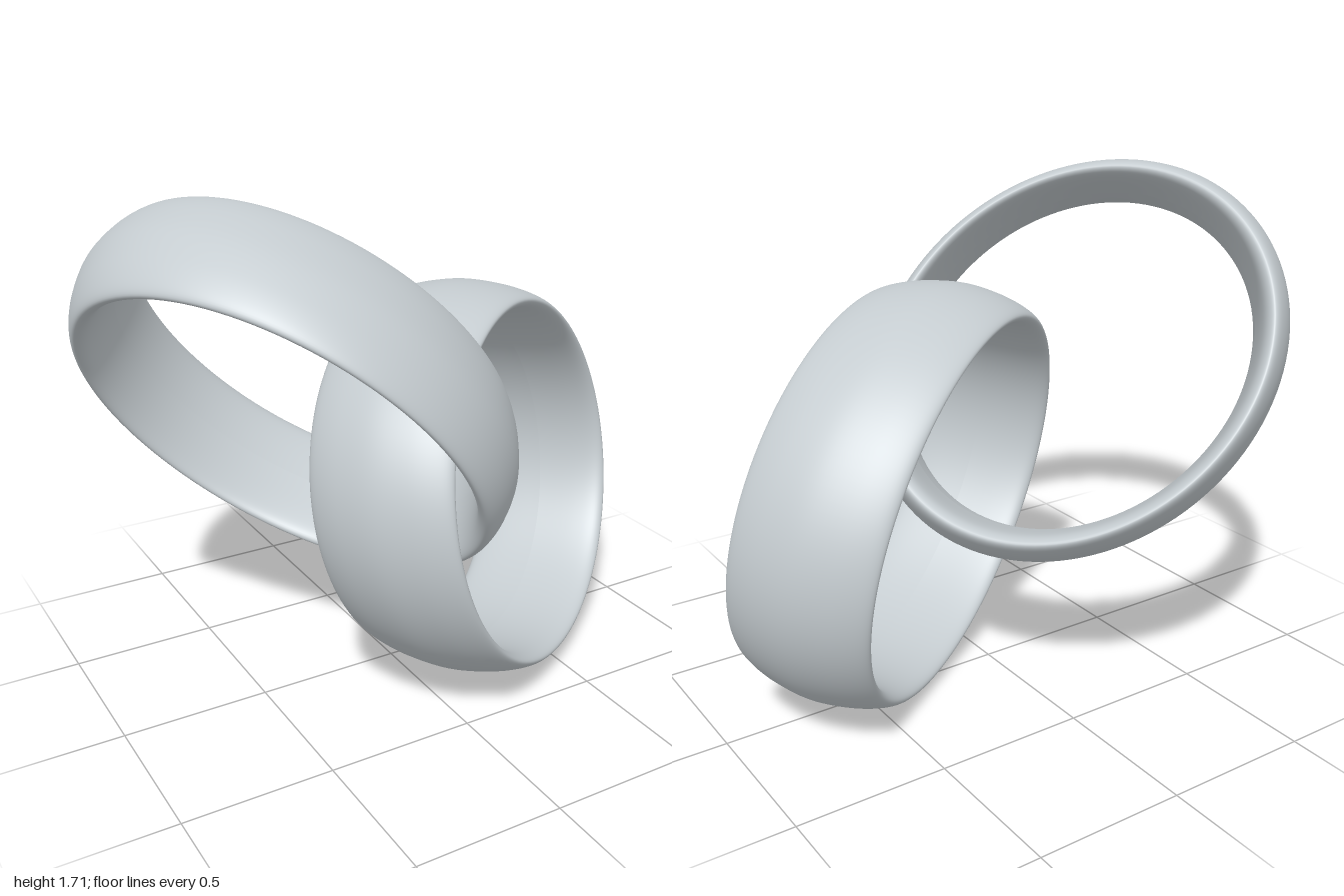
import * as THREE from 'three';

const silver = new THREE.MeshStandardMaterial({ color: 0xc5ccd0 });
silver.name = 'silver';

// Closed band section as (radius, height): gently domed outside, nearly flat inside, rounded rims
function bandGeometry() {
  const upper = [[0.757, 0], [0.742, 0.11], [0.714, 0.19], [0.686, 0.223], [0.66, 0.2], [0.648, 0.13]];
  const lower = upper.slice(1).reverse().map(([r, y]) => [r, -y]);
  const loop = [[0.643, 0], ...lower, ...upper, [0.643, 0]];
  const curve = new THREE.SplineCurve(loop.map(([r, y]) => new THREE.Vector2(r, y)));
  return new THREE.LatheGeometry(curve.getPoints(72), 128);
}

// An oval band facing along normal, longest along the long direction;
// lean slants its walls towards the short direction
function makeRing({ name, normal, long, longScale, shortScale, widthScale, lean, centre }) {
  const n = new THREE.Vector3(...normal).normalize();
  const u = new THREE.Vector3(...long).projectOnPlane(n).normalize();
  const v = new THREE.Vector3().crossVectors(u, n);
  const wall = n.clone().addScaledVector(v, lean).multiplyScalar(widthScale);
  const frame = new THREE.Matrix4().makeBasis(
    u.multiplyScalar(longScale), wall, v.multiplyScalar(shortScale));
  const ring = new THREE.Mesh(bandGeometry().applyMatrix4(frame), silver);
  ring.name = name;
  ring.position.set(...centre);
  return ring;
}

export function createModel() {
  const model = new THREE.Group();
  model.name = 'linkedRings';
  model.add(
    // upper ring, tipped over to the side
    makeRing({
      name: 'upperRing', normal: [0.692, 0.583, -0.424], long: [0.72, -0.617, 0.31],
      longScale: 1.015, shortScale: 0.92, widthScale: 1.03, lean: -0.36,
      centre: [-0.345, 1.058, 0],
    }),
    // lower ring, nearly upright and threaded through the upper one
    makeRing({
      name: 'lowerRing', normal: [0.55, 0.165, 0.819], long: [0.795, -0.404, -0.452],
      longScale: 1.013, shortScale: 0.886, widthScale: 1.1, lean: 0.08,
      centre: [0.284, 0.675, 0.084],
    }),
  );
  return model;
}
